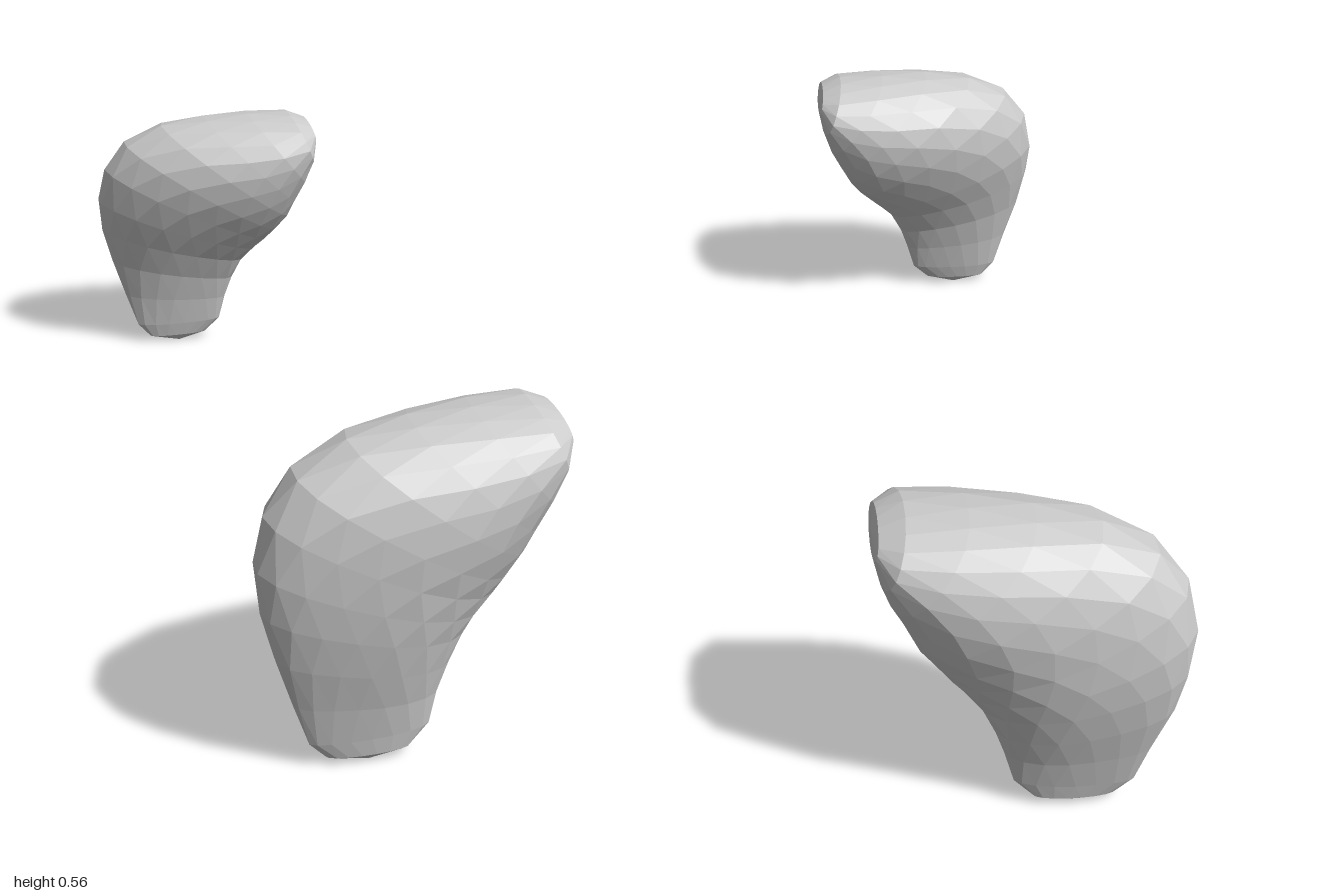
import * as THREE from 'three';

// Stations along the curved lobe: outer edge x,y, inner edge x,y, then z of the inner and outer face
const STATIONS = [
  [-0.135, 0.014, 0.0, 0.018, 0.89, 0.918],
  [-0.165, 0.045, 0.033, 0.052, 0.88, 0.925],
  [-0.190, 0.120, 0.047, 0.108, 0.865, 0.942],
  [-0.220, 0.205, 0.064, 0.158, 0.845, 0.963],
  [-0.240, 0.285, 0.088, 0.207, 0.815, 0.98],
  [-0.248, 0.360, 0.115, 0.239, 0.785, 0.99],
  [-0.232, 0.438, 0.140, 0.265, 0.758, 0.996],
  [-0.185, 0.500, 0.162, 0.290, 0.735, 1.0],
  [-0.100, 0.541, 0.188, 0.325, 0.718, 0.998],
  [0.0, 0.557, 0.204, 0.362, 0.712, 0.988],
  [0.1, 0.564, 0.226, 0.408, 0.712, 0.972],
  [0.195, 0.563, 0.240, 0.455, 0.722, 0.95],
  [0.236, 0.548, 0.248, 0.500, 0.765, 0.91],
];
const SEGMENTS = 18;

// A closed skin lofted through the stations; side is +1 for front, -1 for its mirror
function lobeGeometry(side, footShift) {
  const pos = [], index = [];
  const put = (x, y, z) => {
    const shift = footShift * Math.max(0, 1 - y / 0.3);
    pos.push(x, y, side * (z + shift));
  };
  const tri = (a, b, c) => (side > 0 ? index.push(a, b, c) : index.push(a, c, b));
  const at = (i, j) => i * SEGMENTS + (j % SEGMENTS);

  STATIONS.forEach(([ax, ay, bx, by, zin, zout], i) => {
    const bend = 0.02 * Math.sin((Math.PI * i) / (STATIONS.length - 1));
    for (let j = 0; j < SEGMENTS; j++) {
      const angle = ((j + (i % 2) * 0.5) / SEGMENTS) * Math.PI * 2;
      const c = Math.cos(angle), s = Math.sin(angle);
      // inner face bulges toward the inner edge
      const t = 0.5 + 0.5 * c + (s < 0 ? 0.05 * s * s : 0);
      const mid = (zin + zout) / 2 - bend * c * Math.abs(c);
      const z = mid + ((zout - zin) / 2) * Math.sign(s) * Math.pow(Math.abs(s), 0.95);
      put(ax + (bx - ax) * t, ay + (by - ay) * t, z);
    }
  });
  const last = STATIONS.length - 1;
  const foot = pos.length / 3;
  put(-0.065, 0, 0.902);
  put(0.246, 0.524, 0.838);

  // staggered triangle strips
  for (let i = 0; i < last; i++) {
    for (let j = 0; j < SEGMENTS; j++) {
      const a = at(i, j), b = at(i + 1, j), c = at(i, j + 1), d = at(i + 1, j + 1);
      if (i % 2) { tri(a, b, d); tri(a, d, c); }
      else { tri(a, b, c); tri(b, d, c); }
    }
  }
  // foot and end caps
  for (let j = 0; j < SEGMENTS; j++) {
    tri(foot, at(0, j), at(0, j + 1));
    tri(foot + 1, at(last, j + 1), at(last, j));
  }
  const geo = new THREE.BufferGeometry();
  geo.setAttribute('position', new THREE.Float32BufferAttribute(pos, 3));
  geo.setIndex(index);
  geo.computeVertexNormals();
  return geo;
}

export function createModel() {
  const group = new THREE.Group();
  group.name = 'lobePair';
  const material = new THREE.MeshStandardMaterial({ color: 0xcccccc, flatShading: true });
  for (const [name, side, shift] of [['frontLobe', 1, 0.008], ['backLobe', -1, -0.01]]) {
    const mesh = new THREE.Mesh(lobeGeometry(side, shift), material);
    mesh.name = name;
    group.add(mesh);
  }
  return group;
}
